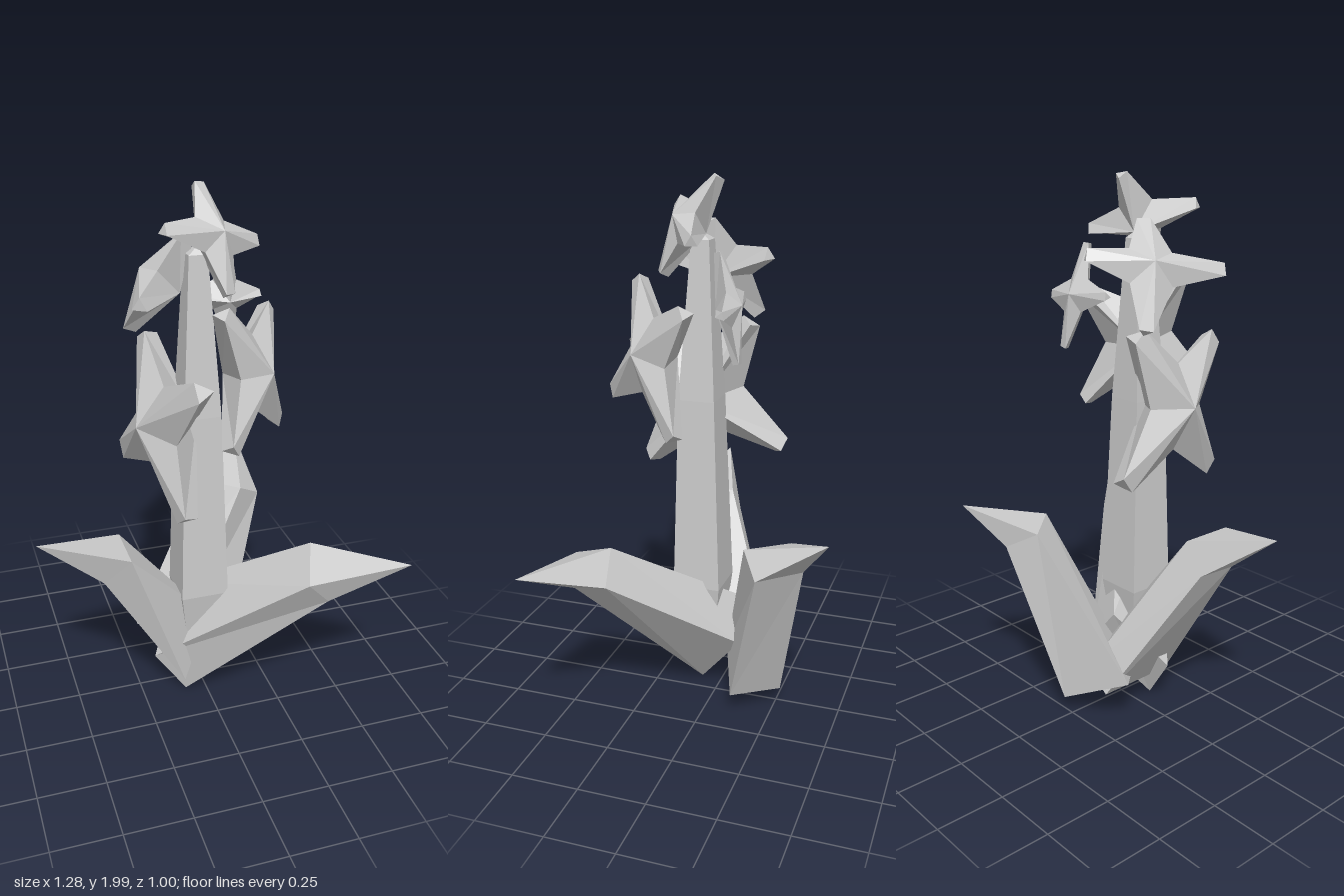
import * as THREE from 'three';

const material = new THREE.MeshStandardMaterial({ color: 0xcccccc, flatShading: true });
const vec = (p) => new THREE.Vector3(...p);

// Turns a list of [a, b, c] corner triples into a faceted mesh.
function facetMesh(name, triangles) {
  const geometry = new THREE.BufferGeometry().setFromPoints(triangles.flat());
  geometry.computeVertexNormals();
  const mesh = new THREE.Mesh(geometry, material);
  mesh.name = name;
  return mesh;
}

// Skins rings of equal size (counterclockwise seen from the end), closing base and tip.
function loft(name, rings, tip) {
  const triangles = [];
  const n = rings[0].length;
  for (let r = 0; r < rings.length - 1; r++) {
    for (let i = 0; i < n; i++) {
      const j = (i + 1) % n;
      const [a, b, c, d] = [rings[r][i], rings[r][j], rings[r + 1][j], rings[r + 1][i]];
      triangles.push([a, b, c], [a, c, d]);
    }
  }
  const last = rings[rings.length - 1];
  for (let i = 0; i < n; i++) triangles.push([last[i], last[(i + 1) % n], tip]);
  for (let i = 1; i < n - 1; i++) triangles.push([rings[0][0], rings[0][i + 1], rings[0][i]]);
  return facetMesh(name, triangles);
}

// Four-petalled star: raised middle, blunt petal ends and a cone behind.
function flower(name, tipPoints) {
  const tips = tipPoints.map(vec);
  const centre = tips.reduce((s, t) => s.add(t), new THREE.Vector3()).multiplyScalar(0.25);
  const across = tips[2].clone().sub(tips[0]);
  const normal = across.clone().cross(tips[3].clone().sub(tips[1])).normalize();
  const size = across.length() / 2;
  const front = centre.clone().addScaledVector(normal, size * 0.24);
  const back = centre.clone().addScaledVector(normal, -size * 0.42);

  // Notches between neighbouring petals
  const notches = tips.map((t, i) => {
    const middle = t.clone().add(tips[(i + 3) % 4]).multiplyScalar(0.5);
    return centre.clone().lerp(middle, 0.62);
  });

  const triangles = [];
  tips.forEach((t, i) => {
    const out = t.clone().sub(centre).normalize();
    const side = normal.clone().cross(out).multiplyScalar(size * 0.1);
    const a = t.clone().sub(side);
    const b = t.clone().add(side);
    const under = t.clone().addScaledVector(normal, -size * 0.18);
    const n0 = notches[i];
    const n1 = notches[(i + 1) % 4];
    triangles.push(
      [front, n0, a], [front, a, b], [front, b, n1],
      [back, a, n0], [back, under, a], [back, b, under], [back, n1, b],
      [a, under, b]
    );
  });
  return facetMesh(name, triangles);
}

// Base ring, bend ring and tip of each leaf
const LEAVES = {
  rightLeaf: {
    base: [[0.02, 0.33, 0.06], [-0.05, 0.2, -0.21], [-0.14, 0.12, -0.2], [-0.1, 0.09, 0.14]],
    bend: [[-0.32, 0.73, 0.23], [-0.32, 0.73, 0.03], [-0.4, 0.62, 0.02], [-0.41, 0.62, 0.17]],
    tip: [-0.64, 0.8, 0.14],
  },
  backLeaf: {
    base: [[-0.22, 0.18, -0.16], [-0.09, 0.15, -0.02], [0.16, 0.085, -0.11], [0.02, 0.065, -0.27]],
    bend: [[0.1, 0.72, -0.32], [0.23, 0.73, -0.18], [0.33, 0.66, -0.25], [0.2, 0.66, -0.39]],
    tip: [0.31, 0.82, -0.5],
  },
  frontLeaf: {
    base: [[-0.07, 0.39, -0.1], [-0.2, 0.17, 0.06], [-0.08, 0, 0.08], [0.05, 0.25, -0.11]],
    bend: [[0.34, 0.72, 0.28], [0.27, 0.65, 0.45], [0.36, 0.55, 0.42], [0.42, 0.6, 0.27]],
    tip: [0.64, 0.7, 0.5],
  },
};

// Petal ends of each flower, counterclockwise seen from its face
const FLOWERS = {
  frontLeftFlower: [[0.25, 1.56, 0.04], [0, 1.63, 0.3], [0, 1.2, 0.41], [0.29, 1.13, 0.07]],
  lowRightFlower: [[-0.12, 1.4, 0.36], [-0.19, 1.46, -0.08], [-0.25, 0.97, -0.19], [-0.16, 0.91, 0.31]],
  backLeftFlower: [[-0.03, 1.58, -0.1], [0.12, 1.75, -0.06], [0.26, 1.56, -0.11], [0.16, 1.38, -0.14]],
  highRightFlower: [[-0.28, 1.67, 0.23], [-0.07, 1.84, 0.04], [-0.04, 1.73, -0.19], [-0.24, 1.49, -0.1]],
  topFlower: [[0.2, 1.79, 0.03], [0, 1.99, 0], [-0.17, 1.89, 0.2], [0.05, 1.66, 0.19]],
};

// Stem stations: x, y, z, half width
const STEM = [
  [-0.02, 0.28, 0.05, 0.065],
  [-0.02, 0.47, 0.055, 0.09],
  [-0.025, 1.2, 0.06, 0.068],
  [-0.03, 1.77, 0.055, 0.033],
];

export function createModel() {
  const model = new THREE.Group();
  model.name = 'floweringPlant';

  // Square tapering stem
  const stemRings = STEM.map(([x, y, z, h]) =>
    [[1, 1], [1, -1], [-1, -1], [-1, 1]].map(([sx, sz]) => new THREE.Vector3(x + sx * h, y, z + sz * h))
  );
  model.add(loft('stem', stemRings, new THREE.Vector3(-0.02, 1.8, 0.06)));

  // Thick bent leaves
  for (const [name, { base, bend, tip }] of Object.entries(LEAVES)) {
    model.add(loft(name, [base.map(vec), bend.map(vec)], vec(tip)));
  }

  // Flowers around the stem
  for (const [name, tips] of Object.entries(FLOWERS)) model.add(flower(name, tips));

  return model;
}
